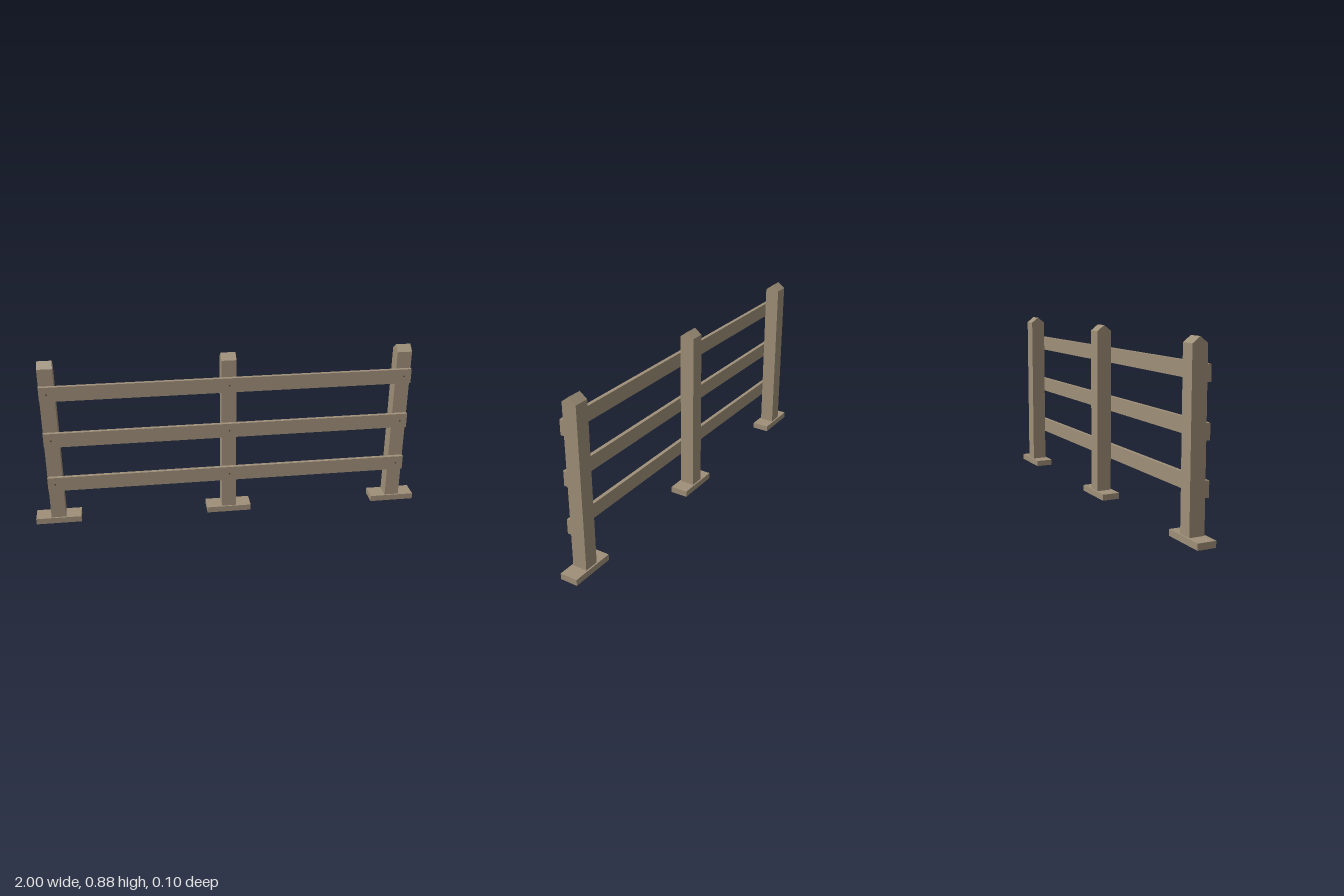
import * as THREE from 'three';

const POST_XS = [-0.885, 0, 0.885];
const RAIL_YS = [0.2325, 0.4785, 0.7245];

export function createModel() {
  const fence = new THREE.Group();
  fence.name = 'fence';
  const wood = new THREE.MeshStandardMaterial({ color: 0x9e8f78 });
  wood.name = 'weathered wood';
  const iron = new THREE.MeshStandardMaterial({ color: 0x4c4740 });
  iron.name = 'dark iron';

  const add = (name, geometry, material, x, y, z) => {
    const mesh = new THREE.Mesh(geometry, material);
    mesh.name = name;
    mesh.position.set(x, y, z);
    fence.add(mesh);
  };

  // Post: side outline with a ridged top, extruded along x
  const width = 0.074, half = 0.0375;
  const outline = new THREE.Shape([
    [-half, 0.03], [half, 0.03], [half, 0.848], [0, 0.877], [-half, 0.848],
  ].map(([x, y]) => new THREE.Vector2(x, y)));
  const postGeometry = new THREE.ExtrudeGeometry(outline, { depth: width, bevelEnabled: false });
  postGeometry.translate(0, 0, -width / 2).rotateY(Math.PI / 2);

  const footGeometry = new THREE.BoxGeometry(0.23, 0.031, 0.091);
  const railGeometry = new THREE.BoxGeometry(1.844, 0.075, 0.019);
  const nailGeometry = new THREE.CylinderGeometry(0.004, 0.004, 0.006, 8).rotateX(Math.PI / 2);

  // Posts standing on flat feet
  for (const x of POST_XS) {
    add('post', postGeometry, wood, x, 0, -0.0065);
    add('foot', footGeometry, wood, x, 0.0155, -0.0065);
  }

  // Rails across the front, nailed to each post
  for (const y of RAIL_YS) {
    add('rail', railGeometry, wood, 0, y, 0.0405);
    for (const x of POST_XS) add('nail', nailGeometry, iron, x, y, 0.05);
  }
  return fence;
}
